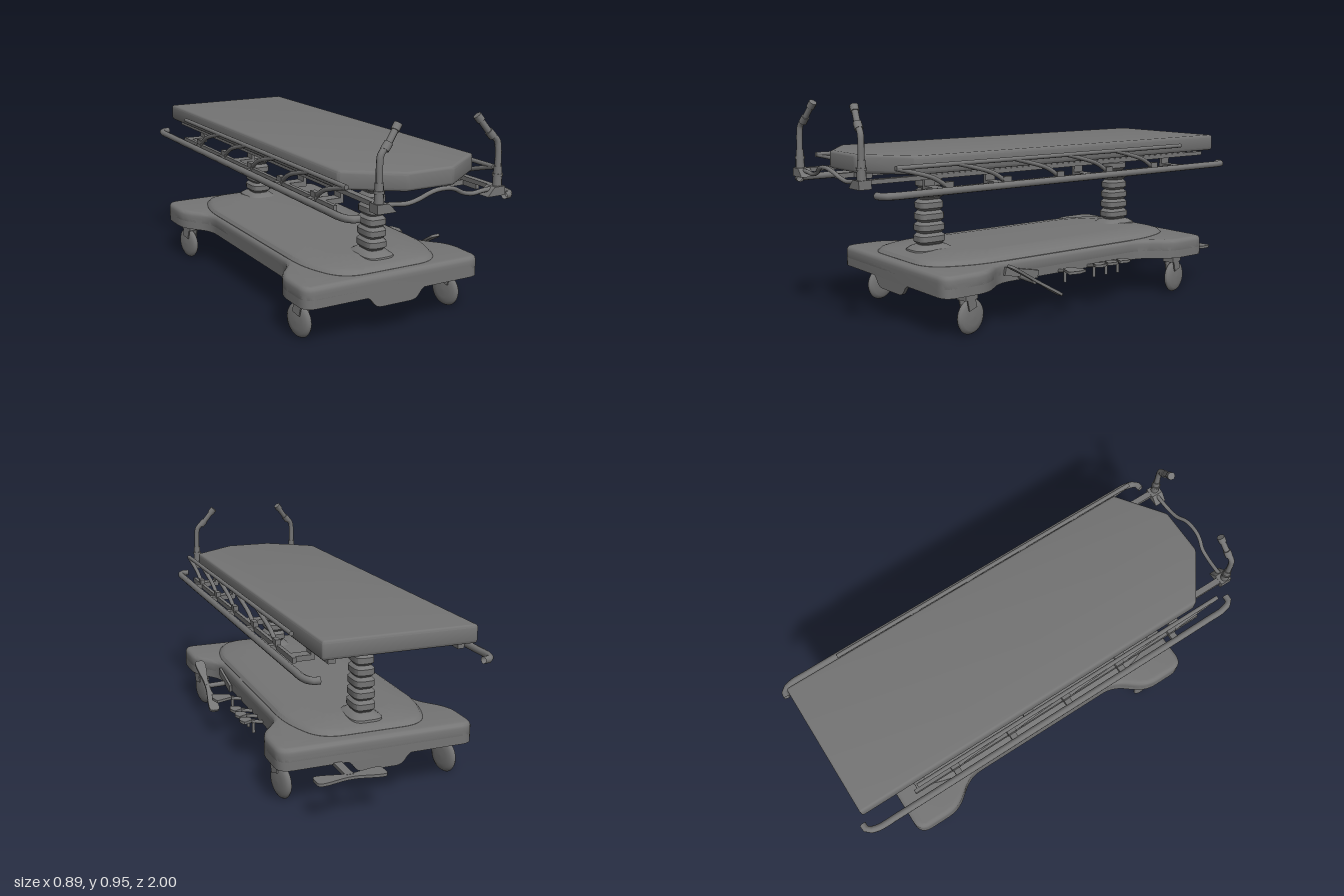
import * as THREE from 'three';
import { toCreasedNormals } from 'three/addons/utils/BufferGeometryUtils.js';

const grey = new THREE.MeshStandardMaterial({ color: 0x757575 });
const greyThin = new THREE.MeshStandardMaterial({ color: 0x757575, side: THREE.DoubleSide });
const V = (x, y, z) => new THREE.Vector3(x, y, z);

function add(parent, name, geo, x = 0, y = 0, z = 0, mat = grey) {
  const m = new THREE.Mesh(geo, mat);
  m.name = name;
  m.position.set(x, y, z);
  parent.add(m);
  return m;
}
const box = (p, name, w, h, d, x, y, z) => add(p, name, new THREE.BoxGeometry(w, h, d), x, y, z);

// straight round bar between two points
function rod(p, name, a, b, r, r2 = r) {
  const dir = b.clone().sub(a);
  const m = add(p, name, new THREE.CylinderGeometry(r2, r, dir.length(), 12));
  m.position.copy(a).add(b).multiplyScalar(0.5);
  m.quaternion.setFromUnitVectors(V(0, 1, 0), dir.normalize());
  return m;
}
const tube = (p, name, pts, r, n = 40) =>
  add(p, name, new THREE.TubeGeometry(new THREE.CatmullRomCurve3(pts, false, 'centripetal'), n, r, 10), 0, 0, 0, greyThin);

// closed outline with every corner rounded by up to r
function outline(pts, r) {
  const v = pts.map(([x, z]) => new THREE.Vector2(x, -z));
  const s = new THREE.Shape();
  v.forEach((c, i) => {
    const cut = (o) => {
      const d = o.clone().sub(c);
      return c.clone().add(d.clone().setLength(Math.min(r, d.length() * 0.49)));
    };
    const a = cut(v[(i + v.length - 1) % v.length]), b = cut(v[(i + 1) % v.length]);
    if (i) s.lineTo(a.x, a.y); else s.moveTo(a.x, a.y);
    s.quadraticCurveTo(c.x, c.y, b.x, b.y);
  });
  s.closePath();
  return s;
}
// right half listed front to back, mirrored into a full loop
const mirrored = (half) => [...half, ...half.slice().reverse().map(([x, z]) => [-x, z])];

// horizontal slab between two heights, with a rounded edge at top and bottom
function slab(p, name, shape, y0, y1, bevel = 0) {
  const g = new THREE.ExtrudeGeometry(shape, {
    depth: y1 - y0 - 2 * bevel, bevelEnabled: bevel > 0, bevelThickness: bevel,
    bevelSize: bevel, bevelOffset: -bevel, bevelSegments: 3, curveSegments: 6,
  });
  g.rotateX(-Math.PI / 2);
  return add(p, name, toCreasedNormals(g, 0.6), 0, y0 + bevel, 0);
}

// low crowned cover: each level is [height, x scale, z scale] of the outline
function crownedCover(p, shape, zMid, levels) {
  const n = levels.length - 1;
  const g = new THREE.ExtrudeGeometry(shape, { depth: n, steps: n, bevelEnabled: false, curveSegments: 8 });
  const a = g.attributes.position;
  for (let i = 0; i < a.count; i++) {
    const [y, sx, sz] = levels[Math.round(a.getZ(i))];
    a.setXYZ(i, a.getX(i) * sx, y, zMid + (-a.getY(i) - zMid) * sz);
  }
  add(p, 'topCover', toCreasedNormals(g, 0.5));
}

// pleated lifting column with a rounded-square section
function column(p, z) {
  const prof = [[0.072, 0.285], [0.07, 0.298], [0.052, 0.312], [0.038, 0.316]];
  for (let i = 0; i < 7; i++) {
    const y = 0.318 + i * 0.049, r = 0.048 - i * 0.0015;
    prof.push([r - 0.01, y], [r, y + 0.012], [r, y + 0.036], [r - 0.01, y + 0.048]);
  }
  prof.push([0.034, 0.668], [0, 0.668]);
  const g = new THREE.LatheGeometry(prof.map(([r, y]) => new THREE.Vector2(r, y)), 32);
  const a = g.attributes.position;
  for (let i = 0; i < a.count; i++) {
    const x = a.getX(i), w = a.getZ(i), r = Math.hypot(x, w);
    const k = r > 0 ? r / Math.pow(x ** 4 + w ** 4, 0.25) : 1;
    a.setXYZ(i, x * k, a.getY(i), w * k * 1.36);
  }
  add(p, 'liftColumn', toCreasedNormals(g, 0.5), 0, 0, z);
}

function caster(p, x, z) {
  const g = new THREE.Group();
  g.name = 'caster';
  g.position.set(x, 0, z);
  g.rotation.y = 0.2;
  p.add(g);
  // lens-shaped wheel
  const tyre = [[0, -0.02], [0.035, -0.019], [0.058, -0.015], [0.07, -0.008], [0.075, 0],
    [0.07, 0.008], [0.058, 0.015], [0.035, 0.019], [0, 0.02]];
  const w = new THREE.LatheGeometry(tyre.map(([r, y]) => new THREE.Vector2(r, y)), 28);
  w.rotateZ(Math.PI / 2);
  add(g, 'wheel', w, 0, 0.075, 0);
  for (const s of [-1, 1]) {
    const leg = box(g, 'forkLeg', 0.006, 0.055, 0.045, s * 0.024, 0.138, 0.016);
    leg.rotation.x = 0.25;
  }
  box(g, 'forkCrown', 0.054, 0.022, 0.07, 0, 0.162, 0.018);
  rod(g, 'casterStem', V(0, 0.165, 0.02), V(0, 0.205, 0.02), 0.025);
}

// thin pedal plate with two wide ends, long axis along z
function bowtie(p, name, length, wide, narrow) {
  const h = length / 2;
  return slab(p, name, outline(mirrored([[wide, h], [wide, h * 0.75], [narrow, h * 0.15],
    [narrow, -h * 0.15], [wide, -h * 0.75], [wide, -h]]), 0.02), -0.006, 0.006);
}

function buildBase(root) {
  const base = new THREE.Group();
  base.name = 'base';
  root.add(base);
  const half = [[0.43, 0.7], [0.43, 0.49], [0.325, 0.36], [0.325, -0.46], [0.43, -0.59], [0.43, -0.8]];
  slab(base, 'baseBody', outline(mirrored(half), 0.06), 0.195, 0.267, 0.02);
  // rim hanging below the body
  const rim = outline(mirrored(half), 0.06);
  const inner = half.map(([x, z], i) => [x - 0.018, i === 0 ? z - 0.018 : i === 5 ? z + 0.018 : z]);
  rim.holes.push(new THREE.Path(outline(mirrored(inner), 0.05).getPoints(6)));
  slab(base, 'baseRim', rim, 0.178, 0.235);
  slab(base, 'basePan', outline(mirrored([[0.3, 0.56], [0.3, -0.66]]), 0.04), 0.172, 0.21, 0.01);
  crownedCover(base, outline(mirrored([[0.23, 0.66], [0.31, 0.46], [0.31, -0.53], [0.23, -0.74]]), 0.1), -0.04,
    [[0.25, 1, 1], [0.268, 1, 1], [0.282, 0.965, 0.98], [0.288, 0.92, 0.95], [0.3, 0.64, 0.78]]);

  // flaps at both ends
  const flap = new THREE.Shape();
  flap.moveTo(-0.17, 0.2);
  flap.lineTo(-0.15, 0.18);
  flap.bezierCurveTo(-0.11, 0.175, -0.12, 0.13, -0.07, 0.13);
  flap.lineTo(0.07, 0.13);
  flap.bezierCurveTo(0.12, 0.13, 0.11, 0.175, 0.15, 0.18);
  flap.lineTo(0.17, 0.2);
  for (const z of [0.684, -0.799])
    add(base, 'endFlap', new THREE.ExtrudeGeometry(flap, { depth: 0.015, bevelEnabled: false }), 0, 0, z);

  for (const z of [0.5, -0.6]) column(base, z);
  for (const x of [-0.37, 0.37]) for (const z of [0.54, -0.655]) caster(base, x, z);
}

function buildPedals(root) {
  const g = new THREE.Group();
  g.name = 'pedals';
  root.add(g);
  // long tilted rocker with its bracket
  const rocker = bowtie(g, 'rockerPedal', 0.32, 0.024, 0.01);
  rocker.position.set(0.428, 0.187, 0.25);
  rocker.rotation.x = -0.53;
  rod(g, 'rockerAxle', V(0.3, 0.195, 0.25), V(0.43, 0.19, 0.25), 0.012);
  const br = box(g, 'rockerBracket', 0.012, 0.035, 0.18, 0.335, 0.21, 0.25);
  br.rotation.x = -0.2;
  // small flat side pedals on arms
  for (const [z, w, x1] of [[0.03, 0.05, 0.463], [-0.14, 0.034, 0.428], [-0.213, 0.034, 0.428], [-0.286, 0.034, 0.428]]) {
    const pad = [[0.375, z - w * 0.45], [x1 - 0.012, z - w], [x1, z], [x1 - 0.012, z + w], [0.375, z + w * 0.45]];
    slab(g, 'sidePedal', outline(pad, 0.008), 0.197, 0.209);
    rod(g, 'pedalArm', V(0.28, 0.178, z), V(0.395, 0.2, z), 0.008);
    rod(g, 'pedalPin', V(0.365, 0.143, z), V(0.365, 0.205, z), 0.007);
  }
  // cross pedal at the back
  const rear = bowtie(g, 'rearPedal', 0.29, 0.036, 0.016);
  rear.rotation.y = Math.PI / 2;
  rear.position.set(0.185, 0.172, -0.925);
  box(g, 'rearPedalArm', 0.035, 0.014, 0.3, 0.185, 0.178, -0.77);
}

// folding side rail, s = +1 or -1 for the side
function buildSideRail(root, s) {
  const g = new THREE.Group();
  g.name = s > 0 ? 'leftSideRail' : 'rightSideRail';
  root.add(g);
  tube(g, 'bumperRail', [V(0.335, 0.602, 0.94), V(0.365, 0.602, 0.935), V(0.383, 0.602, 0.89), V(0.385, 0.602, 0.8),
    V(0.385, 0.602, 0), V(0.385, 0.602, -0.85), V(0.383, 0.602, -0.94), V(0.365, 0.602, -0.982),
    V(0.335, 0.602, -0.987)].map((v) => V(v.x * s, v.y, v.z)), 0.015, 80);
  box(g, 'lowerBar', 0.016, 0.022, 1.5, s * 0.338, 0.6, 0.02);
  rod(g, 'upperBar', V(s * 0.343, 0.702, 0.86), V(s * 0.343, 0.702, -0.71), 0.0095);
  for (let i = 0; i < 5; i++) {
    const z = 0.86 - i * 0.287;
    tube(g, 'slantedBar', [V(s * 0.343, 0.7, z), V(s * 0.343, 0.685, z - 0.06), V(s * 0.342, 0.652, z - 0.17),
      V(s * 0.34, 0.61, z - 0.24)], 0.0095, 14);
    box(g, 'railPivot', 0.06, 0.022, 0.03, s * 0.358, 0.6, z - 0.24);
    box(g, 'pivotBlock', 0.022, 0.03, 0.04, s * 0.34, 0.618, z - 0.24);
  }
  // outriggers joining the rail to the deck frame
  for (const z of [0.66, 0.36, -0.13, -0.69]) {
    box(g, 'outrigger', 0.09, 0.022, 0.05, s * 0.295, 0.6, z);
    box(g, 'outriggerPost', 0.015, 0.06, 0.05, s * 0.257, 0.62, z);
  }
}

// push handle and corner bracket, s for the side
function buildHandle(root, s) {
  const g = new THREE.Group();
  g.name = s > 0 ? 'leftPushHandle' : 'rightPushHandle';
  root.add(g);
  const block = new THREE.Shape([[0.293, 0.658], [0.293, 0.622], [0.21, 0.622], [0.235, 0.65], [0.245, 0.658]]
    .map(([x, y]) => new THREE.Vector2(x * s, y)));
  add(g, 'cornerBracket', new THREE.ExtrudeGeometry(block, { depth: 0.055, bevelEnabled: false }), 0, 0, 0.937);
  rod(g, 'handleSleeve', V(s * 0.272, 0.65, 0.968), V(s * 0.272, 0.735, 0.968), 0.019, 0.016);
  rod(g, 'handleCollar', V(s * 0.272, 0.695, 0.968), V(s * 0.272, 0.706, 0.968), 0.021);
  tube(g, 'handlePost', [V(s * 0.272, 0.73, 0.968), V(s * 0.271, 0.8, 0.967), V(s * 0.265, 0.835, 0.965),
    V(s * 0.238, 0.863, 0.96)], 0.013, 20);
  rod(g, 'handleElbow', V(s * 0.248, 0.85, 0.961), V(s * 0.227, 0.874, 0.957), 0.017);
  rod(g, 'handleGrip', V(s * 0.235, 0.863, 0.959), V(s * 0.185, 0.929, 0.946), 0.013);
  rod(g, 'gripEnd', V(s * 0.196, 0.915, 0.949), V(s * 0.179, 0.937, 0.944), 0.017);
}

export function createModel() {
  const model = new THREE.Group();
  model.name = 'patientTrolley';
  const root = new THREE.Group();
  root.name = 'trolley';
  root.position.x = -0.02;
  model.add(root);

  buildBase(root);
  buildPedals(root);

  // mattress with a tapered front end
  slab(root, 'mattress', outline(mirrored([[0.11, 0.91], [0.32, 0.755], [0.32, -0.967]]), 0.012), 0.665, 0.74, 0.012);
  // deck frame
  for (const s of [-1, 1]) {
    box(root, 'frameRail', 0.028, 0.018, 1.88, s * 0.268, 0.648, 0.01);
    box(root, 'frameSpacer', 0.02, 0.02, 1.5, s * 0.268, 0.662, -0.05);
    buildSideRail(root, s);
    buildHandle(root, s);
  }

  // curved bar across the front
  const bar = [[0.28, 0.648, 0.965], [0.21, 0.645, 0.965], [0.15, 0.641, 0.97], [0.1, 0.652, 0.973],
    [0.06, 0.672, 0.983], [0.03, 0.681, 0.987]].map((c) => V(...c));
  const mirror = bar.slice().reverse().map((v) => V(-v.x, v.y, v.z));
  tube(root, 'frontBar', [...bar, V(0, 0.683, 0.988), ...mirror], 0.009, 60);
  return model;
}
